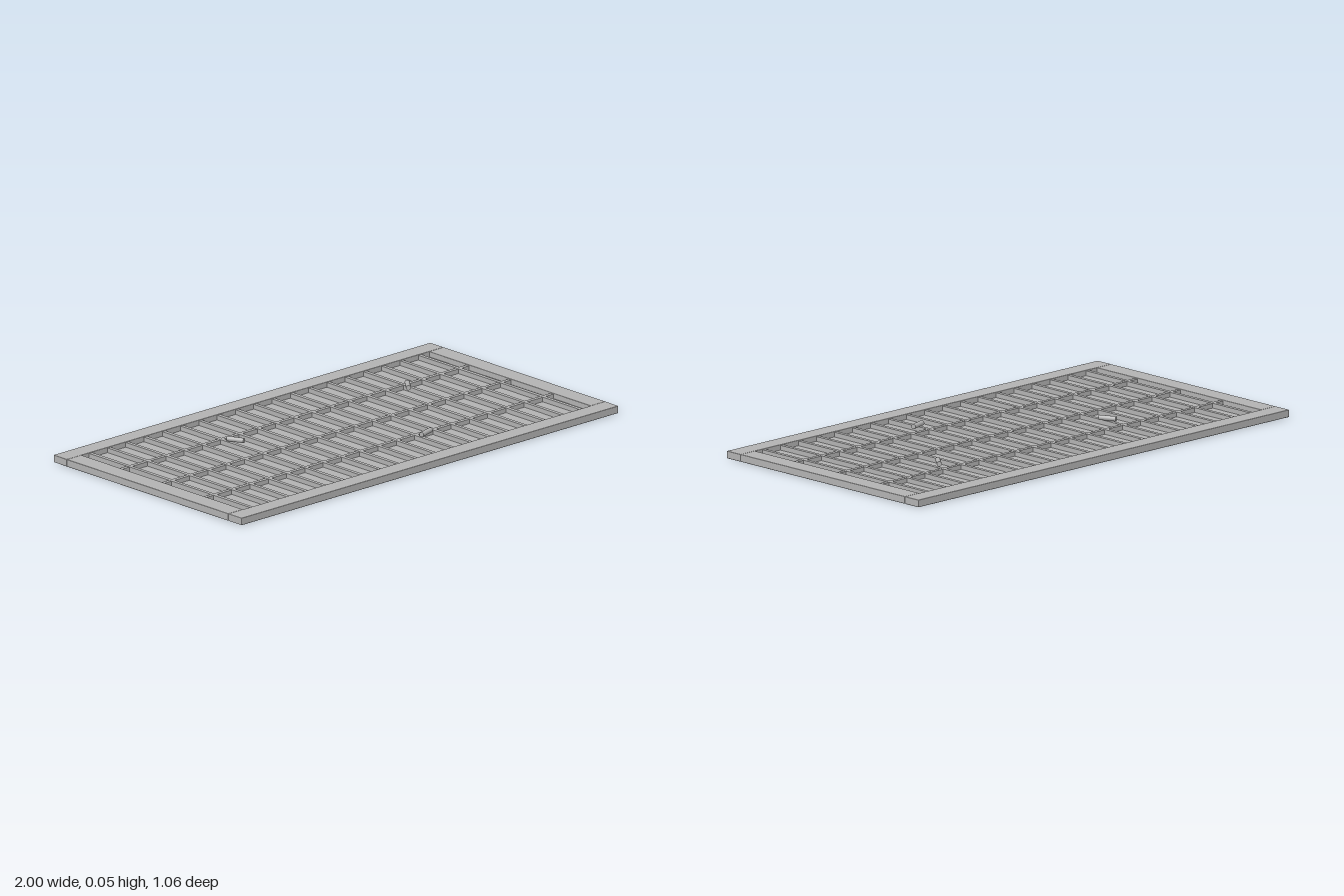
import * as THREE from 'three';
import { RoundedBoxGeometry } from 'three/addons/geometries/RoundedBoxGeometry.js';

export function createModel() {
  const model = new THREE.Group();
  model.name = 'floorGrate';
  const grey = new THREE.MeshStandardMaterial({ color: 0xb2b2b2 });
  grey.name = 'plain grey';

  const add = (name, geometry, x, y, z) => {
    const mesh = new THREE.Mesh(geometry, grey);
    mesh.name = name;
    mesh.position.set(x, y, z);
    model.add(mesh);
    return mesh;
  };

  // Backing plate that closes the grate from below
  add('backingPlate', new THREE.BoxGeometry(1.99, 0.008, 1.05), 0, 0.004, 0);

  // Frame: long rails along x, short end rails fitted between them
  for (const side of [-1, 1]) {
    add(side > 0 ? 'frontRail' : 'backRail',
      new RoundedBoxGeometry(2, 0.03, 0.075, 2, 0.003), 0, 0.015, side * 0.4925);
    add(side > 0 ? 'leftRail' : 'rightRail',
      new RoundedBoxGeometry(0.078, 0.03, 0.91, 2, 0.003), side * 0.961, 0.015, 0);
  }

  // Grating bars running front to back
  for (let i = -9; i <= 9; i++) {
    add('gratingBar', new THREE.BoxGeometry(0.016, 0.022, 0.912), i * 0.097, 0.016, 0);
  }

  // Cross bars tying the grating together
  for (const z of [-0.237, 0, 0.237]) {
    add('crossBar', new THREE.BoxGeometry(1.846, 0.021, 0.016), 0, 0.0155, z);
  }

  // Short round stubs lying on the grate: x, z, heading in the ground plane
  const stubs = [
    [-0.38, -0.162, 0.03, 0.065],
    [0.56, -0.19, -0.045, 0.055],
    [0.217, 0.277, 0.067, -0.02],
  ];
  for (const [x, z, dx, dz] of stubs) {
    const stub = add('stub', new THREE.CylinderGeometry(0.01, 0.01, 0.07, 16), x, 0.04, z);
    stub.quaternion.setFromUnitVectors(
      new THREE.Vector3(0, 1, 0), new THREE.Vector3(dx, 0, dz).normalize());
  }
  return model;
}
